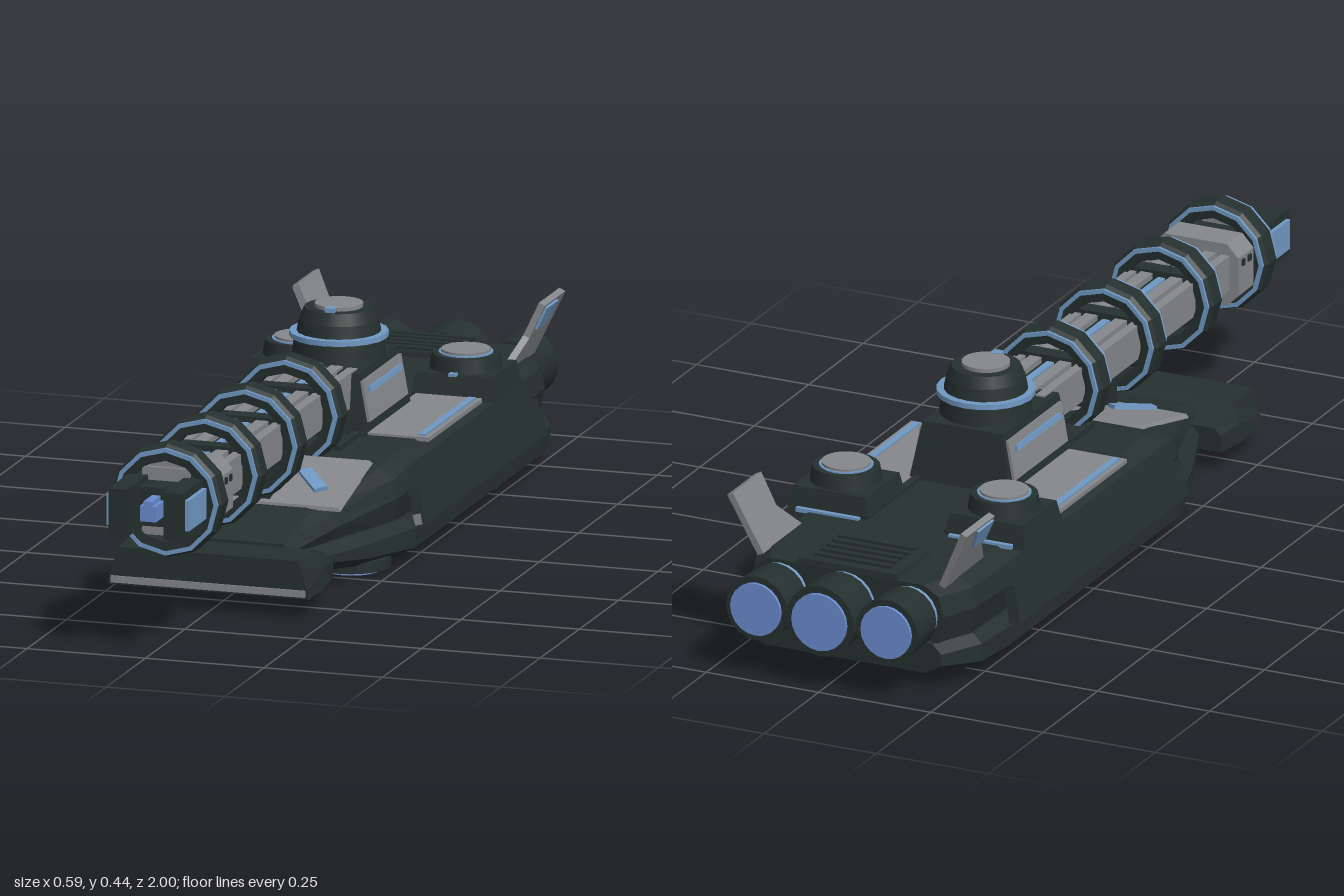
import * as THREE from 'three';

const paint = (name, color) => {
  const m = new THREE.MeshStandardMaterial({ color });
  m.name = name;
  return m;
};

export function createModel() {
  const root = new THREE.Group();
  root.name = 'hoverTank';
  const dark = paint('dark armour', 0x25302f);
  const gray = paint('gray metal', 0x86878b);
  const blue = paint('blue trim', 0x7099c4);
  const glow = paint('blue glow', 0x6a8ccf);

  // ---- helpers ----
  const flat = (g) => {
    const f = g.index ? g.toNonIndexed() : g;
    f.computeVertexNormals();
    return f;
  };
  const add = (name, g, mat) => {
    const m = new THREE.Mesh(g, mat);
    m.name = name;
    root.add(m);
  };
  // adds a part on the left and its mirror image on the right
  const both = (name, g, mat) => {
    add(name + 'Left', g, mat);
    const r = g.index ? g.toNonIndexed() : g.clone();
    for (const a of [r.attributes.position, r.attributes.normal]) {
      for (let i = 0; i < a.count; i++) a.setX(i, -a.getX(i));
      for (let i = 0; i < a.count; i += 3) {
        const p = new THREE.Vector3().fromBufferAttribute(a, i + 1);
        const q = new THREE.Vector3().fromBufferAttribute(a, i + 2);
        a.setXYZ(i + 1, q.x, q.y, q.z);
        a.setXYZ(i + 2, p.x, p.y, p.z);
      }
    }
    add(name + 'Right', r, mat);
  };
  // box from its limits
  const box = (x0, x1, y0, y1, z0, z1) =>
    new THREE.BoxGeometry(x1 - x0, y1 - y0, z1 - z0).translate((x0 + x1) / 2, (y0 + y1) / 2, (z0 + z1) / 2);
  // box whose top is scaled by sx, sz
  const taper = (x0, x1, y0, y1, z0, z1, sx, sz) => {
    const g = new THREE.BoxGeometry(x1 - x0, y1 - y0, z1 - z0);
    const p = g.attributes.position;
    for (let i = 0; i < p.count; i++)
      if (p.getY(i) > 0) p.setXYZ(i, p.getX(i) * sx, p.getY(i), p.getZ(i) * sz);
    return flat(g).translate((x0 + x1) / 2, (y0 + y1) / 2, (z0 + z1) / 2);
  };
  const cylY = (x, z, y0, y1, rTop, rBot, n = 20) =>
    new THREE.CylinderGeometry(rTop, rBot, y1 - y0, n).translate(x, (y0 + y1) / 2, z);
  const cylZ = (x, y, z0, z1, rFront, rBack, n = 20) =>
    new THREE.CylinderGeometry(rFront, rBack, z1 - z0, n).rotateX(Math.PI / 2).translate(x, y, (z0 + z1) / 2);
  // symmetric loft: each section is [z, half outline from bottom to top]
  const loft = (sections) => {
    const rings = sections.map(([z, half]) => [
      ...half.map(([x, y]) => [x, y, z]),
      ...half.slice().reverse().map(([x, y]) => [-x, y, z]),
    ]);
    const v = [];
    const n = rings[0].length, last = rings[rings.length - 1];
    for (let i = 0; i + 1 < rings.length; i++)
      for (let j = 0; j < n; j++) {
        const k = (j + 1) % n;
        const [a, b, c, d] = [rings[i][j], rings[i][k], rings[i + 1][k], rings[i + 1][j]];
        v.push(...a, ...b, ...c, ...a, ...c, ...d);
      }
    for (let j = 1; j + 1 < n; j++) {
      v.push(...last[0], ...last[j], ...last[j + 1]);
      v.push(...rings[0][0], ...rings[0][j + 1], ...rings[0][j]);
    }
    const g = new THREE.BufferGeometry();
    g.setAttribute('position', new THREE.Float32BufferAttribute(v, 3));
    g.computeVertexNormals();
    return g;
  };
  // side outline in (z, y), extruded from x0 to x1
  const sidePlate = (pts, x0, x1) =>
    new THREE.ExtrudeGeometry(new THREE.Shape(pts.map(([z, y]) => new THREE.Vector2(-z, y))),
      { depth: x1 - x0, bevelEnabled: false }).rotateY(Math.PI / 2).translate(x0, 0, 0);

  // ---- hull ----
  const lower = [[-0.88, 0.215, 0.03], [-0.79, 0.262, 0.018], [-0.68, 0.27, 0.015], [0.1, 0.27, 0.015], [0.25, 0.225, 0.025], [0.48, 0.135, 0.055]];
  add('lowerHull', loft(lower.map(([z, w, y]) =>
    [z, [[w - 0.035, y], [w, y + 0.02], [w, 0.075], [w - 0.02, 0.095]]])), dark);
  const upper = [[-0.87, 0.215, 0.214], [-0.79, 0.25, 0.214], [-0.68, 0.255, 0.214], [0.07, 0.255, 0.212], [0.13, 0.248, 0.2], [0.32, 0.18, 0.155], [0.48, 0.125, 0.108]];
  add('upperHull', loft(upper.map(([z, w, y]) =>
    [z, [[w - 0.015, 0.085], [w, 0.09 + (y - 0.09) * 0.5], [w - 0.01, y - 0.02 * (y - 0.08) / 0.13], [w - 0.045, y]]])), dark);
  // slanted side armour with a gray rail beneath
  both('sideArmour', taper(-0.012, 0.012, -0.038, 0.038, -0.39, 0.39, 1, 0.97).rotateZ(0.25).translate(0.272, 0.12, -0.29), dark);
  both('sideRail', box(-0.008, 0.008, -0.011, 0.011, -0.38, 0.38).rotateZ(0.25).translate(0.276, 0.093, -0.28), gray);

  // ---- nose ----
  const glacis = (x0, x1, z0, z1, lift) =>
    box(x0, x1, -0.004, 0.004, z0, z1).rotateX(0.235).translate(0, 0.183 + lift, 0.215);
  add('glacisPlate', taper(-0.185, 0.185, -0.004, 0.004, -0.108, 0.108, 0.97, 0.97).rotateX(0.235).translate(0, 0.183, 0.215), gray);
  both('glacisLight', box(-0.014, 0.014, -0.004, 0.004, -0.048, 0.048).rotateY(0.65).rotateX(0.235).translate(0.1, 0.194, 0.235), blue);
  add('noseBlock', loft([[0.3, [[0.135, 0.1], [0.135, 0.145], [0.12, 0.162]]], [0.47, [[0.128, 0.08], [0.128, 0.105], [0.115, 0.118]]]]), dark);
  add('bumper', loft([
    [0.425, [[0.205, 0.045], [0.205, 0.08], [0.19, 0.095]]],
    [0.5, [[0.212, 0.042], [0.21, 0.085], [0.195, 0.12]]],
    [0.6, [[0.212, 0.042], [0.209, 0.06], [0.19, 0.12]]]]), dark);
  add('bumperStripe', box(-0.205, 0.205, 0.046, 0.06, 0.595, 0.604), gray);

  // ---- deck ----
  both('deckPlate', box(0.1, 0.24, 0.208, 0.217, -0.42, -0.08), gray);
  both('deckStripe', box(0.215, 0.23, 0.212, 0.221, -0.41, -0.09), blue);
  both('rearDeckStripe', box(0.1, 0.24, 0.21, 0.219, -0.612, -0.602), blue);
  both('deckRidge', box(0.085, 0.1, 0.205, 0.222, -0.6, 0.06), dark);
  add('engineDeck', taper(-0.115, 0.115, 0.205, 0.225, -0.87, -0.71, 0.96, 0.96), dark);
  for (let i = 0; i < 5; i++)
    add('ventSlat', box(-0.085, 0.085, 0.222, 0.231, -0.845 + i * 0.027, -0.831 + i * 0.027), dark);

  // ---- rear hatches ----
  both('hatchBase', taper(0.085, 0.265, 0.207, 0.257, -0.6, -0.425, 0.9, 0.88), dark);
  both('hatchDrum', cylY(0.176, -0.51, 0.255, 0.287, 0.068, 0.074), dark);
  both('hatchTrim', cylY(0.176, -0.51, 0.285, 0.29, 0.055, 0.055), blue);
  both('hatchCap', cylY(0.176, -0.51, 0.287, 0.295, 0.05, 0.05), gray);
  both('hatchMark', box(0.168, 0.184, 0.256, 0.262, -0.435, -0.42), blue);

  // ---- turret ----
  add('turretBase', taper(-0.112, 0.112, 0.21, 0.335, -0.355, -0.065, 0.8, 0.88), dark);
  both('turretPanel', box(-0.004, 0.004, -0.042, 0.042, -0.122, 0.122).rotateZ(0.18).translate(0.102, 0.278, -0.21), gray);
  both('turretPanelLight', box(-0.004, 0.004, -0.006, 0.006, -0.1, 0.1).rotateZ(0.18).translate(0.104, 0.298, -0.21), blue);
  add('turretNeck', cylY(0, -0.232, 0.33, 0.375, 0.09, 0.095), dark);
  add('turretRing', cylY(0, -0.232, 0.374, 0.385, 0.1, 0.1), blue);
  add('turretDrum', cylY(0, -0.232, 0.385, 0.41, 0.08, 0.085), dark);
  add('turretDome', cylY(0, -0.232, 0.41, 0.434, 0.07, 0.08), dark);
  add('turretCap', cylY(0, -0.232, 0.434, 0.442, 0.049, 0.049), gray);
  add('turretMark', box(-0.01, 0.01, 0.434, 0.443, -0.19, -0.17), blue);

  // ---- cannon ----
  const cy = 0.293;
  add('cannonCore', box(-0.06, 0.06, 0.268, 0.328, -0.15, 0.88), dark);
  both('cannonInnerRail', box(0.02, 0.046, 0.255, 0.34, -0.12, 0.8), gray);
  both('cannonOuterRail', box(0.056, 0.076, 0.265, 0.338, -0.12, 0.85), gray);
  add('cannonLight', box(-0.008, 0.008, 0.326, 0.334, -0.12, 0.86), blue);
  add('cannonLowerLight', box(-0.008, 0.008, 0.262, 0.27, -0.05, 0.86), blue);
  add('cannonSupport', taper(-0.032, 0.032, 0.165, 0.262, 0.215, 0.305, 1, 0.85), dark);
  const lathe = (pts) => flat(new THREE.LatheGeometry(pts.map(([r, y]) => new THREE.Vector2(r, y)), 12)).rotateX(Math.PI / 2);
  for (const z of [0.083, 0.338, 0.592, 0.842]) {
    add('coilRing', lathe([[0.084, -0.03], [0.104, -0.032], [0.117, -0.018], [0.117, 0.018], [0.104, 0.032], [0.084, 0.03], [0.084, -0.03]]).translate(0, cy, z), dark);
    for (const s of [-1, 1])
      add('coilTrim', lathe([[0.102, -0.003], [0.111, -0.003], [0.111, 0.003], [0.102, 0.003], [0.102, -0.003]]).translate(0, cy, z + s * 0.03), blue);
    add('coilClamp', box(-0.082, 0.082, 0.248, 0.346, z - 0.018, z + 0.018), dark);
  }
  // muzzle block and prongs
  add('muzzleBlock', loft([[0.73, [[0.07, 0.23], [0.095, 0.255], [0.095, 0.335], [0.07, 0.362]]], [0.8, [[0.07, 0.23], [0.095, 0.255], [0.095, 0.335], [0.07, 0.362]]]]), gray);
  for (const z of [0.75, 0.778])
    both('muzzleBolt', box(0.09, 0.099, 0.315, 0.328, z - 0.006, z + 0.006), dark);
  add('muzzlePlate', box(-0.05, 0.05, 0.222, 0.362, 0.862, 0.87), gray);
  add('muzzleRoot', box(-0.07, 0.07, 0.255, 0.335, 0.86, 0.93), dark);
  both('prong', box(0.038, 0.078, 0.247, 0.345, 0.86, 1.0), dark);
  both('prongPlate', box(0.078, 0.087, 0.265, 0.328, 0.87, 0.985), blue);
  add('muzzleSpark', box(-0.017, 0.017, 0.278, 0.31, 0.925, 0.985), glow);
  add('muzzleSight', box(-0.009, 0.009, 0.31, 0.32, 0.925, 0.985), glow);

  // ---- rear fins ----
  const lean = (g) => g.translate(-0.2, -0.21, 0).rotateZ(-0.43).translate(0.2, 0.21, 0);
  both('fin', lean(sidePlate([[-0.67, 0.21], [-0.735, 0.275], [-0.74, 0.35], [-0.87, 0.35], [-0.85, 0.21]], 0.195, 0.209)), gray);
  both('finPanel', lean(sidePlate([[-0.745, 0.295], [-0.748, 0.345], [-0.82, 0.345], [-0.8, 0.295]], 0.207, 0.214)), blue);

  // ---- engines ----
  for (const [x, r, back] of [[-0.145, 0.065, -0.985], [0, 0.071, -0.993], [0.145, 0.065, -0.985]]) {
    add('engineCollar', cylZ(x, 0.15, -0.9, -0.83, r * 0.85, r * 0.85), gray);
    add('engineCollarRing', cylZ(x, 0.15, -0.885, -0.875, r * 0.92, r * 0.92), blue);
    add('nozzle', cylZ(x, 0.15, back, -0.892, r, r * 1.06), dark);
    add('nozzleGlow', cylZ(x, 0.15, back - 0.007, back + 0.002, r * 0.86, r * 0.86), glow);
  }

  // ---- hover pads ----
  for (const z of [0.17, -0.525]) {
    both('hoverHousing', cylY(0.16, z, 0.008, 0.03, 0.08, 0.08), dark);
    both('hoverGlow', cylY(0.16, z, 0, 0.009, 0.06, 0.06), glow);
  }
  return root;
}
